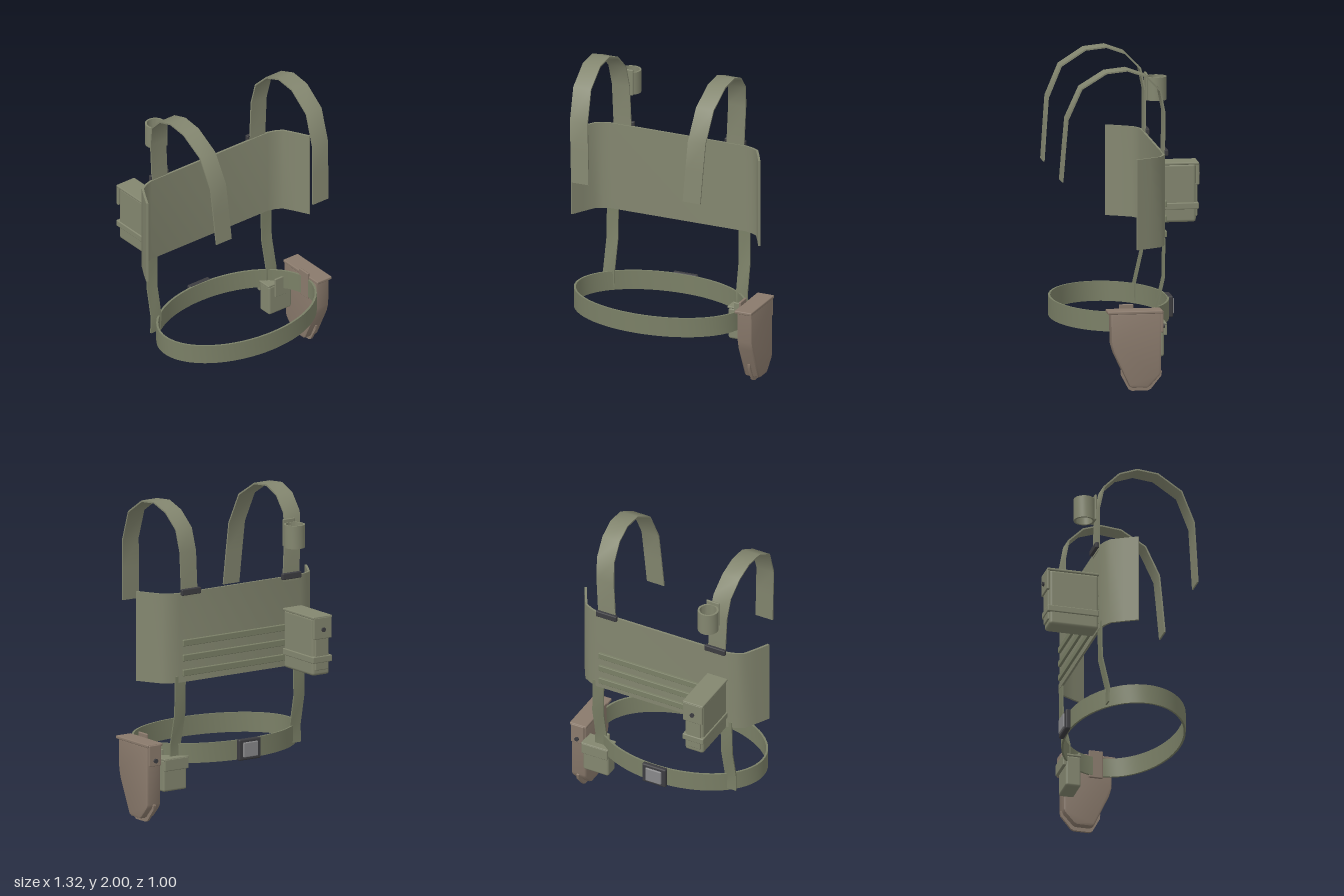
import * as THREE from 'three';
import { toCreasedNormals } from 'three/addons/utils/BufferGeometryUtils.js';
import { RoundedBoxGeometry } from 'three/addons/geometries/RoundedBoxGeometry.js';

const mat = (color) => new THREE.MeshStandardMaterial({ color, side: THREE.DoubleSide });
const CX = -0.017; // mirror plane of the harness

// Flat band of given width (along side) and thickness, swept along points
function bandGeometry(points, side, width, thick) {
  const pts = points.map((p) => new THREE.Vector3(...p));
  const S = new THREE.Vector3(...side);
  const pos = [], idx = [];
  const n = pts.length;
  pts.forEach((p, i) => {
    const T = pts[Math.min(i + 1, n - 1)].clone().sub(pts[Math.max(i - 1, 0)]);
    const N = T.cross(S).normalize();
    for (const [a, b] of [[-1, -1], [1, -1], [1, 1], [-1, 1]]) {
      const v = p.clone().addScaledVector(S, a * width / 2).addScaledVector(N, b * thick / 2);
      pos.push(v.x, v.y, v.z);
    }
  });
  for (let i = 0; i < n - 1; i++) {
    for (let j = 0; j < 4; j++) {
      const a = i * 4 + j, b = i * 4 + (j + 1) % 4;
      idx.push(a, b, b + 4, a, b + 4, a + 4);
    }
  }
  const e = (n - 1) * 4;
  idx.push(0, 2, 1, 0, 3, 2, e, e + 1, e + 2, e, e + 2, e + 3);
  const g = new THREE.BufferGeometry();
  g.setAttribute('position', new THREE.Float32BufferAttribute(pos, 3));
  g.setIndex(idx);
  return toCreasedNormals(g, 0.8);
}

// Solid cut from a (z, y) outline, spanning x0..x1
function sideSolid(outline, x0, x1, bevel) {
  const shape = new THREE.Shape(outline.map(([z, y]) => new THREE.Vector2(z, y)));
  const g = new THREE.ExtrudeGeometry(shape, {
    depth: x1 - x0 - 2 * bevel, bevelEnabled: bevel > 0,
    bevelSize: bevel, bevelThickness: bevel, bevelOffset: -bevel, bevelSegments: 2,
  });
  g.rotateY(-Math.PI / 2);
  g.translate(x1 - bevel, 0, 0);
  return toCreasedNormals(g, 0.6);
}

export function createModel() {
  const model = new THREE.Group();
  model.name = 'harness';
  const green = mat(0x83866f), belt = mat(0x7a7f66), brown = mat(0x8a7a6c);
  const dark = mat(0x3c3c40), grey = mat(0x88888a);

  const add = (name, geometry, material, parent = model) => {
    const m = new THREE.Mesh(geometry, material);
    m.name = name;
    parent.add(m);
    return m;
  };
  // Rounded box given by its x, y and z ranges
  const box = (name, [x0, x1], [y0, y1], [z0, z1], material, parent, r = 0.01) => {
    const w = x1 - x0, h = y1 - y0, d = z1 - z0;
    const m = add(name, new RoundedBoxGeometry(w, h, d, 2, Math.min(r, w / 2.2, h / 2.2, d / 2.2)), material, parent);
    m.position.set((x0 + x1) / 2, (y0 + y1) / 2, (z0 + z1) / 2);
    return m;
  };
  const button = (name, x, y, z, parent) => {
    const m = add(name, new THREE.CylinderGeometry(0.014, 0.014, 0.018, 16), dark, parent);
    m.rotation.x = Math.PI / 2;
    m.position.set(x, y, z);
  };
  const group = (name) => {
    const g = new THREE.Group();
    g.name = name;
    model.add(g);
    return g;
  };

  // Back panel with wings curving forward
  const half = [[0.46, -0.147], [0.51, -0.132], [0.555, -0.107], [0.6, -0.03], [0.643, 0.05]];
  const panelPath = [...half.map(([x, z]) => [-x, z]).reverse(), ...half];
  add('backPanel', bandGeometry(panelPath.map(([x, z]) => [CX + x, 1.175, z]), [0, 1, 0], 0.57, 0.014), green);

  // Webbing rows across the back
  for (const y of [0.95, 1.045, 1.14]) {
    box('webbingRow', [CX - 0.44, CX + 0.44], [y - 0.02, y + 0.02], [-0.17, -0.15], belt, model, 0.004);
  }

  // Shoulder straps, clips and lower straps, mirrored; columns are x, y, z
  const shoulder = [
    [0.382, 1.295, 0.487], [0.393, 1.5, 0.472], [0.404, 1.69, 0.457], [0.42, 1.885, 0.372],
    [0.428, 1.982, 0.217], [0.428, 1.996, 0.085], [0.422, 1.955, -0.03], [0.41, 1.86, -0.125],
    [0.398, 1.72, -0.153], [0.385, 1.43, -0.152],
  ];
  const lower = [[0.45, 0.93, -0.147], [0.453, 0.69, -0.145], [0.455, 0.49, -0.1], [0.457, 0.38, -0.103]];
  for (const s of [-1, 1]) {
    const place = (path) => path.map(([x, y, z]) => [CX + s * x, y, z]);
    add('shoulderStrap', bandGeometry(place(shoulder), [1, 0, 0], 0.12, 0.01), green);
    add('lowerStrap', bandGeometry(place(lower), [1, 0, 0], 0.078, 0.01), belt);
    const cx = CX + s * 0.382;
    box('strapClip', [cx - 0.072, cx + 0.072], [1.445, 1.485], [-0.177, -0.152], dark, model, 0.006);
  }

  // Waist belt
  const ring = new THREE.Shape().absellipse(0, 0, 0.565, 0.37, 0, Math.PI * 2);
  ring.holes.push(new THREE.Path().absellipse(0, 0, 0.552, 0.357, 0, Math.PI * 2));
  const ringGeo = new THREE.ExtrudeGeometry(ring, { depth: 0.125, bevelEnabled: false, curveSegments: 32 });
  ringGeo.rotateX(-Math.PI / 2);
  ringGeo.translate(CX, 0.365, 0.13);
  add('waistBelt', toCreasedNormals(ringGeo, 0.6), belt);

  // Belt buckle at the back
  const buckle = group('beltBuckle');
  box('buckleFrame', [-0.1, 0.066], [0.36, 0.495], [-0.265, -0.232], dark, buckle);
  box('bucklePlate', [-0.072, 0.038], [0.38, 0.475], [-0.275, -0.255], grey, buckle, 0.006);

  // Tube holder on the right shoulder strap
  const holder = group('tubeHolder');
  const tube = [[0.053, 0.0], [0.065, 0.0], [0.065, 0.147], [0.053, 0.147], [0.053, 0.0]];
  const tubeGeo = new THREE.LatheGeometry(tube.map(([r, y]) => new THREE.Vector2(r, y)), 32);
  add('tube', toCreasedNormals(tubeGeo, 0.6), green, holder).position.set(-0.38, 1.66, -0.225);
  box('holderPlate', [-0.425, -0.335], [1.66, 1.83], [-0.168, -0.155], green, holder, 0.004);

  // Large pouch on the back
  const pouch = group('backPouch');
  box('pouchBody', [-0.475, -0.345], [0.885, 1.255], [-0.472, -0.157], green, pouch, 0.018);
  box('pouchLid', [-0.482, -0.338], [1.248, 1.265], [-0.49, -0.155], green, pouch, 0.006);
  box('pouchFlap', [-0.478, -0.342], [1.12, 1.258], [-0.492, -0.472], green, pouch, 0.006);
  box('pouchFrontPanel', [-0.46, -0.36], [0.92, 1.13], [-0.482, -0.465], green, pouch, 0.006);
  box('pouchBand', [-0.483, -0.337], [0.968, 1.01], [-0.488, -0.157], green, pouch, 0.006);
  button('pouchButton', -0.41, 1.18, -0.494, pouch);

  // Small pouch on the belt
  const small = group('beltPouch');
  box('smallPouchBody', [0.372, 0.55], [0.2, 0.405], [-0.133, -0.035], green, small, 0.014);
  box('smallPouchLid', [0.366, 0.555], [0.4, 0.415], [-0.15, -0.035], green, small, 0.006);
  box('smallPouchFlap', [0.37, 0.552], [0.335, 0.41], [-0.152, -0.13], green, small, 0.006);
  box('smallPouchLoop', [0.415, 0.497], [0.32, 0.45], [-0.04, -0.026], green, small, 0.004);

  // Holster on the left side
  const holster = group('holster');
  const outline = [[0.218, 0.495], [0.212, 0.3], [0.197, 0.245], [0.1, 0.035], [0.08, 0.024],
    [-0.012, 0.024], [-0.03, 0.034], [-0.09, 0.1], [-0.1, 0.125], [-0.1, 0.495]];
  add('holsterBody', sideSolid(outline, 0.548, 0.65, 0.012), brown, holster);
  const seam = [[0.15, 0.13], [0.148, 0.1], [0.1, 0.01], [0.08, 0], [-0.02, 0], [-0.04, 0.01],
    [-0.105, 0.09], [-0.11, 0.12], [-0.08, 0.13]];
  add('holsterSeam', sideSolid(seam, 0.592, 0.608, 0), brown, holster);
  box('holsterLid', [0.54, 0.656], [0.49, 0.51], [-0.11, 0.235], brown, holster, 0.006);
  box('holsterFlap', [0.555, 0.645], [0.37, 0.505], [-0.116, -0.098], brown, holster, 0.006);
  button('holsterButton', 0.6, 0.405, -0.118, holster);
  box('holsterLoop', [0.53, 0.546], [0.35, 0.535], [0.06, 0.15], brown, holster, 0.005);
  return model;
}
